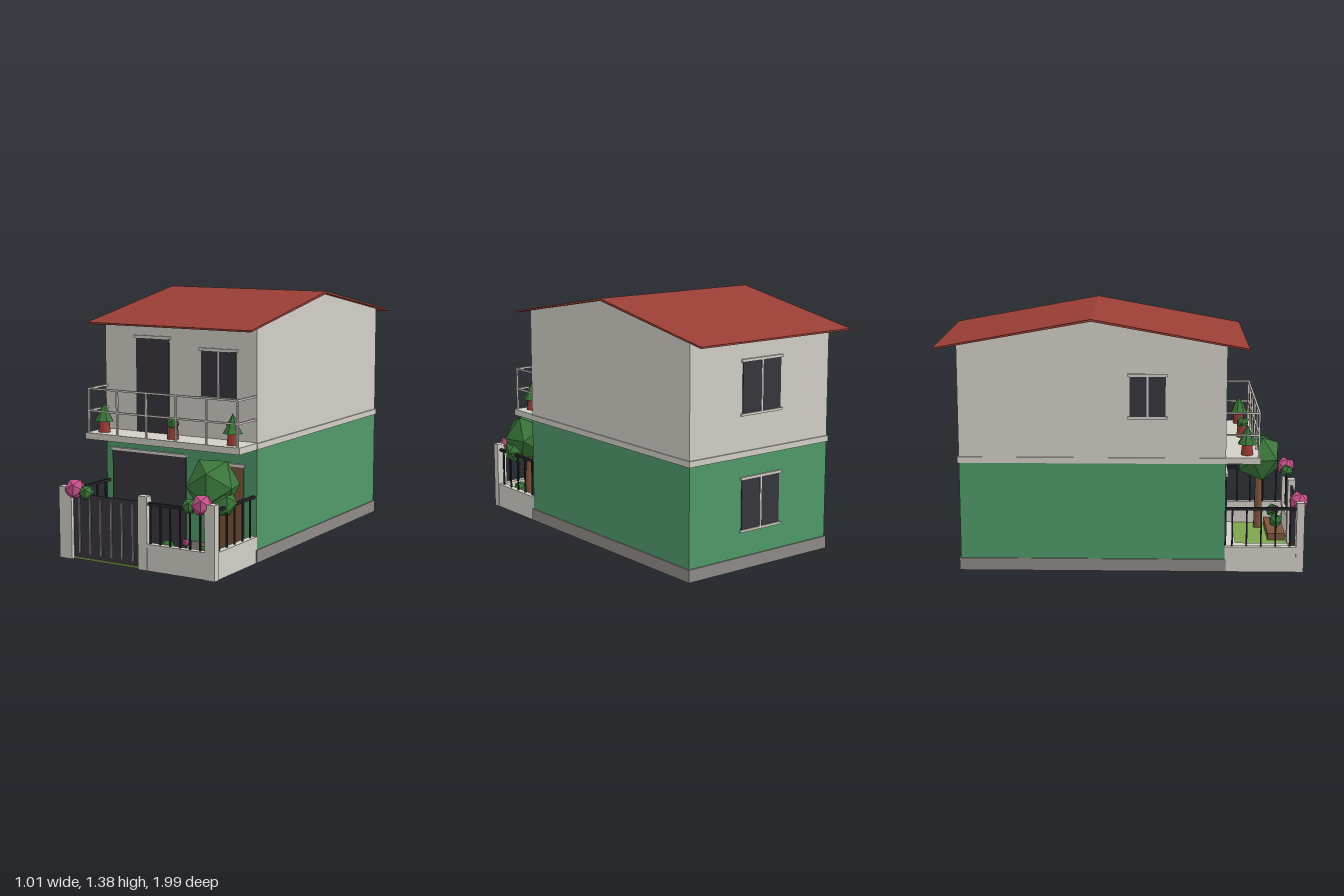
import * as THREE from 'three';

const mat = (name, color, extra = {}) => {
  const m = new THREE.MeshStandardMaterial({ color, ...extra });
  m.name = name;
  return m;
};

export function createModel() {
  const M = {
    wall: mat('pale plaster', 0xd2cfc6),
    green: mat('green wall', 0x509a6a),
    stone: mat('grey stone', 0x8f8a86),
    roof: mat('red tile', 0x9a3e36),
    dark: mat('dark panel', 0x38363e),
    iron: mat('black iron', 0x26252b),
    wood: mat('brown wood', 0x7d553a),
    grass: mat('grass', 0x7fa64e),
    leaf: mat('leaf', 0x3b783b, { flatShading: true }),
    pink: mat('pink blossom', 0xc9518c, { flatShading: true }),
  };
  const root = new THREE.Group();
  root.name = 'house';

  const add = (name, geo, material, parent = root) => {
    const m = new THREE.Mesh(geo, material);
    m.name = name;
    parent.add(m);
    return m;
  };
  // box given by its min and max on each axis
  const box = (name, material, x0, x1, y0, y1, z0, z1, parent = root) => {
    const m = add(name, new THREE.BoxGeometry(x1 - x0, y1 - y0, z1 - z0), material, parent);
    m.position.set((x0 + x1) / 2, (y0 + y1) / 2, (z0 + z1) / 2);
    return m;
  };
  // profile of (z, y) points extruded across x
  const across = (name, pts, width, material, xc = 0) => {
    const shape = new THREE.Shape(pts.map(p => new THREE.Vector2(...p)));
    const g = new THREE.ExtrudeGeometry(shape, { depth: width, bevelEnabled: false });
    g.rotateY(-Math.PI / 2).translate(width / 2 + xc, 0, 0);
    return add(name, g, material);
  };
  const clump = (name, material, x, y, z, r, turn = 0.4) => {
    const m = add(name, new THREE.IcosahedronGeometry(r, 0), material);
    m.position.set(x, y, z);
    m.rotation.y = turn;
    return m;
  };

  // body
  const back = -0.88, front = 0.545;
  box('groundFloor', M.green, -0.475, 0.475, 0, 0.61, back, front);
  box('plinth', M.stone, -0.482, 0.482, 0.002, 0.07, back - 0.008, front + 0.007);
  across('upperFloor', [[back, 0.61], [front, 0.61], [front, 1.235], [-0.17, 1.365], [back, 1.235]], 0.95, M.wall);
  box('floorBand', M.wall, -0.482, 0.482, 0.6, 0.632, back - 0.008, front + 0.007);
  across('roof', [[0.66, 1.214], [0.66, 1.223], [-0.17, 1.376], [-1, 1.223], [-1, 1.214], [-0.17, 1.364]], 1.015, M.roof, -0.002);

  // openings: panel, lintel, optional sill and mullion, facing +z
  const opening = (name, w, y0, y1, material, isWindow) => {
    const g = new THREE.Group();
    g.name = name;
    box('panel', material, -w / 2, w / 2, y0, y1, -0.002, 0.005, g);
    box('lintel', M.wall, -w / 2 - 0.01, w / 2 + 0.01, y1, y1 + 0.015, -0.002, 0.011, g);
    if (isWindow) {
      box('sill', M.wall, -w / 2 - 0.01, w / 2 + 0.01, y0 - 0.013, y0, -0.002, 0.011, g);
      box('mullion', M.wall, -0.005, 0.005, y0, y1, 0, 0.008, g);
    }
    root.add(g);
    return g;
  };
  opening('garageDoor', 0.475, 0.01, 0.52, M.dark).position.set(-0.192, 0, front + 0.005);
  opening('frontDoor', 0.21, 0.01, 0.5, M.wood).position.set(0.295, 0, front + 0.005);
  opening('balconyDoor', 0.21, 0.635, 1.142, M.dark).position.set(-0.165, 0, front);
  opening('frontWindow', 0.213, 0.855, 1.095, M.dark, true).position.set(0.247, 0, front);
  for (const y of [0.215, 0.83]) {
    const w = opening('backWindow', 0.26, y, y + 0.265, M.dark, true);
    w.position.z = back;
    w.rotation.y = Math.PI;
  }
  const side = opening('sideWindow', 0.19, 0.855, 1.07, M.dark, true);
  side.position.set(-0.475, 0, 0.127);
  side.rotation.y = -Math.PI / 2;

  // balcony
  box('balconySlab', M.wall, -0.48, 0.48, 0.6, 0.635, front, 0.73);
  for (const y of [0.755, 0.874]) {
    box('balconyRail', M.wall, -0.468, 0.468, y - 0.005, y + 0.005, 0.715, 0.725);
    for (const s of [-1, 1]) box('balconySideRail', M.wall, s * 0.463 - 0.005, s * 0.463 + 0.005, y - 0.005, y + 0.005, front, 0.72);
  }
  for (let i = 0; i < 6; i++) {
    const x = -0.463 + i * 0.1852;
    box('balconyPost', M.wall, x - 0.005, x + 0.005, 0.635, 0.874, 0.715, 0.725);
  }

  // potted plants
  for (const x of [-0.405, 0.035, 0.4]) {
    add('pot', new THREE.CylinderGeometry(0.027, 0.033, 0.065, 8), M.roof).position.set(x, 0.667, 0.66);
    if (x === 0.035) clump('pottedBush', M.leaf, x, 0.715, 0.66, 0.037);
    else {
      add('lowerLeaves', new THREE.ConeGeometry(0.053, 0.09, 7), M.leaf).position.set(x, 0.74, 0.66);
      add('upperLeaves', new THREE.ConeGeometry(0.036, 0.065, 7), M.leaf).position.set(x, 0.766, 0.66);
    }
  }

  // front yard
  box('lawn', M.grass, -0.46, 0.46, 0, 0.01, 0.6, 0.95);
  box('porch', M.wall, -0.46, 0.46, 0.002, 0.014, front, 0.63);
  box('driveway', M.wall, -0.4, 0.005, 0.005, 0.015, 0.6, 0.93);
  box('flowerBed', M.wood, 0.08, 0.42, 0.005, 0.05, 0.82, 0.92);

  // fence walls, posts and railings
  box('frontWall', M.wall, 0.07, 0.43, 0, 0.14, 0.93, 0.965);
  box('leftGatePost', M.wall, 0.42, 0.48, 0, 0.385, 0.928, 0.97);
  box('middleGatePost', M.wall, 0.018, 0.075, 0, 0.385, 0.925, 0.967);
  box('rightGatePost', M.wall, -0.48, -0.4, 0, 0.385, 0.928, 0.97);
  for (const s of [-1, 1]) {
    const x = s * 0.458;
    box('sideWall', M.wall, x - 0.018, x + 0.018, 0, 0.14, front, 0.95);
    box('sideRail', M.iron, x - 0.009, x + 0.009, 0.342, 0.356, front, 0.93);
    for (let i = 0; i < 5; i++) {
      const z = 0.585 + i * 0.0775;
      box('sideBaluster', M.iron, x - 0.004, x + 0.004, 0.14, 0.345, z - 0.004, z + 0.004);
    }
  }
  box('frontRail', M.iron, 0.075, 0.42, 0.34, 0.354, 0.939, 0.957);
  for (let i = 0; i < 6; i++) {
    const x = 0.085 + i * 0.0595;
    box('frontBaluster', M.iron, x - 0.004, x + 0.004, 0.14, 0.345, 0.944, 0.952);
  }

  // gate
  box('gate', M.dark, -0.4, 0.018, 0.012, 0.352, 0.941, 0.951);
  for (let i = 0; i < 6; i++) {
    const x = -0.36 + i * 0.0675;
    box('gateBar', M.stone, x - 0.004, x + 0.004, 0.035, 0.332, 0.945, 0.956);
  }

  // tree
  add('treeTrunk', new THREE.CylinderGeometry(0.018, 0.026, 0.36, 7), M.wood).position.set(0.35, 0.185, 0.78);
  clump('treeCrown', M.leaf, 0.355, 0.442, 0.78, 0.142, 0.25).scale.y = 1.06;
  clump('treeSideCrown', M.leaf, 0.42, 0.365, 0.8, 0.08, 0.9);

  // bushes on the fence and in the flower bed
  for (const s of [-1, 1]) {
    clump('blossom', M.pink, s * 0.392, 0.373, 0.945, 0.058);
    clump('fenceBush', M.leaf, s * 0.318, 0.36, 0.945, 0.042);
  }
  clump('bedBush', M.leaf, 0.14, 0.11, 0.87, 0.042);
  clump('bedBush', M.leaf, 0.36, 0.11, 0.87, 0.042);
  clump('bedBlossom', M.pink, 0.25, 0.15, 0.873, 0.021);
  add('flowerStem', new THREE.CylinderGeometry(0.006, 0.008, 0.1, 6), M.leaf).position.set(0.25, 0.09, 0.873);

  return root;
}
